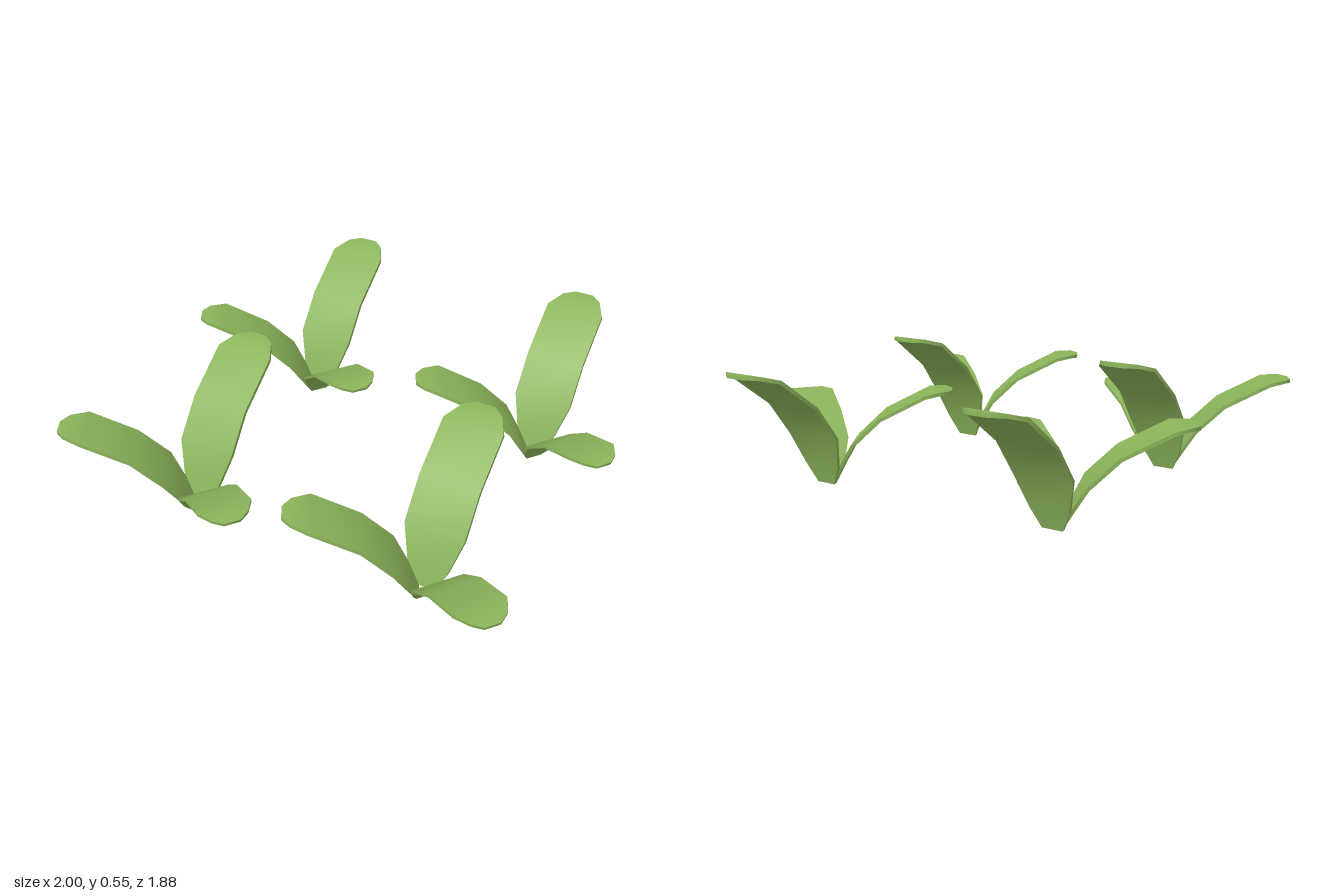
import * as THREE from 'three';
import { toCreasedNormals } from 'three/addons/utils/BufferGeometryUtils.js';

const leafGreen = new THREE.MeshStandardMaterial({ color: 0x8bb35a });
leafGreen.name = 'leafGreen';

// Leaf cross-sections from base to tip: outward distance, height, half width
const SECTIONS = [
  [0, 0.004, 0.045], [0.025, 0.085, 0.085], [0.075, 0.22, 0.126], [0.19, 0.37, 0.126],
  [0.385, 0.512, 0.126], [0.46, 0.535, 0.085], [0.497, 0.538, 0.038],
];
const THICKNESS = 0.016;

// A thin arching blade that grows along -z
function leafGeometry() {
  const pos = [], index = [];
  const quad = (a, b, c, d) => index.push(a, b, c, a, c, d);
  const last = SECTIONS.length - 1;
  SECTIONS.forEach(([d, y, w], i) => {
    const p = SECTIONS[Math.max(i - 1, 0)], n = SECTIONS[Math.min(i + 1, last)];
    const len = Math.hypot(n[0] - p[0], n[1] - p[1]);
    const ny = (n[0] - p[0]) / len * THICKNESS / 2;
    const nz = (n[1] - p[1]) / len * THICKNESS / 2;
    pos.push(-w, y + ny, -d + nz, w, y + ny, -d + nz, w, y - ny, -d - nz, -w, y - ny, -d - nz);
    if (i < last) {
      for (let j = 0; j < 4; j++) {
        const k = (j + 1) % 4;
        quad(i * 4 + j, i * 4 + k, i * 4 + 4 + k, i * 4 + 4 + j);
      }
    }
  });
  const e = last * 4;
  quad(0, 3, 2, 1);
  quad(e, e + 1, e + 2, e + 3);
  const geo = new THREE.BufferGeometry();
  geo.setAttribute('position', new THREE.Float32BufferAttribute(pos, 3));
  geo.setIndex(index);
  return toCreasedNormals(geo, 0.7);
}

// Three leaves per sprout: base offset, heading, pitch, width scale, length scale
const LEAVES = [
  { name: 'backLeaf', x: 0, z: 0, turn: 0, pitch: 0, width: 1, size: 1 },
  { name: 'leftLeaf', x: 0.02, z: 0.04, turn: -127, pitch: -16.4, width: 0.84, size: 0.79 },
  { name: 'rightLeaf', x: -0.012, z: 0.035, turn: 120, pitch: -8.8, width: 0.88, size: 0.87 },
];

// Sprout positions on the ground
const SPROUTS = [[-0.543, -0.44], [0.558, -0.44], [-0.527, 0.55], [0.53, 0.567]];

export function createModel() {
  const model = new THREE.Group();
  model.name = 'sprouts';
  const geo = leafGeometry();
  for (const [x, z] of SPROUTS) {
    const sprout = new THREE.Group();
    sprout.name = 'sprout';
    sprout.position.set(x, 0, z);
    for (const l of LEAVES) {
      const leaf = new THREE.Mesh(geo, leafGreen);
      leaf.name = l.name;
      leaf.position.set(l.x, 0, l.z);
      leaf.rotation.set(THREE.MathUtils.degToRad(l.pitch), THREE.MathUtils.degToRad(l.turn), 0, 'YXZ');
      leaf.scale.set(l.width, l.size, l.size);
      sprout.add(leaf);
    }
    model.add(sprout);
  }
  return model;
}
